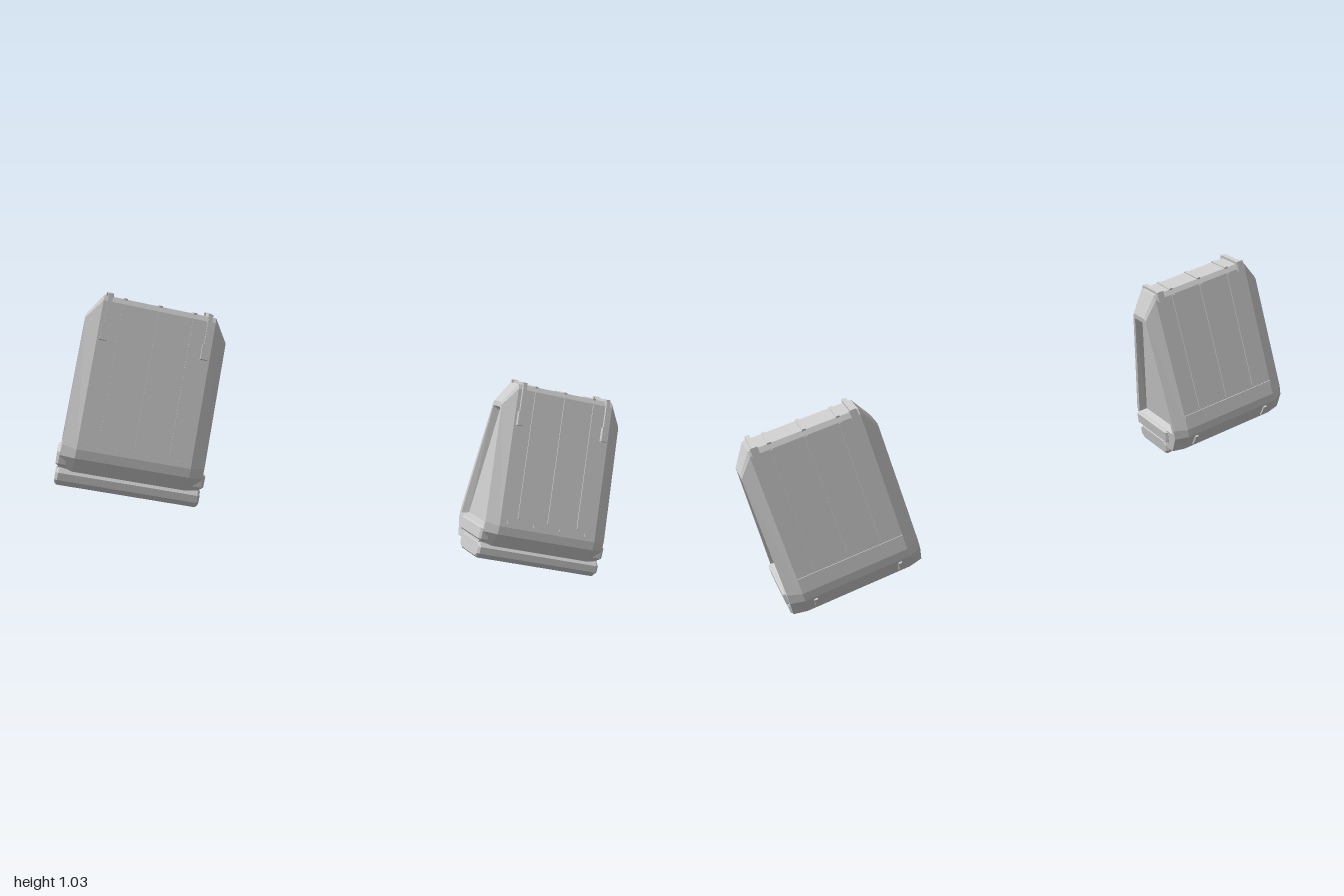
import * as THREE from 'three';

const material = new THREE.MeshStandardMaterial({ color: 0xcccccc, flatShading: true });
const SLOPE = Math.atan2(0.1, 0.485);
// half depth of the tapered shell at height v
const depthAt = (v) => 0.15 - (v - 0.13) * Math.tan(SLOPE);

// mirror a half profile of [z, y] points into a closed loop
const fullLoop = (half) => [...half, ...half.slice().reverse().map(([z, y]) => [-z, y])];

function add(parent, name, geometry, x = 0, y = 0, z = 0, rx = 0) {
  const mesh = new THREE.Mesh(geometry, material);
  mesh.name = name;
  mesh.position.set(x, y, z);
  mesh.rotation.x = rx;
  parent.add(mesh);
  return mesh;
}

// skin a row of closed loops placed along x
function loft(sections) {
  const pos = [];
  const rings = sections.map(([x, half]) => fullLoop(half).map(([z, y]) => [x, y, z]));
  for (let s = 0; s < rings.length - 1; s++) {
    const n = rings[s].length;
    for (let i = 0; i < n; i++) {
      const j = (i + 1) % n;
      const a = rings[s][i], b = rings[s][j], c = rings[s + 1][i], d = rings[s + 1][j];
      pos.push(...a, ...c, ...b, ...b, ...c, ...d);
    }
  }
  const g = new THREE.BufferGeometry();
  g.setAttribute('position', new THREE.Float32BufferAttribute(pos, 3));
  g.computeVertexNormals();
  return g;
}

// bar along x with cut corners in its z-y section
function cutBar(width, height, depth, cut) {
  const w = depth / 2, h = height / 2;
  return loft([
    [-width / 2, Array(4).fill([0, 0])],
    [-width / 2, [[w - cut - 0.006, -h + 0.006], [w - 0.006, -h + cut], [w - 0.006, h - cut], [w - cut - 0.006, h - 0.006]]],
    [-width / 2 + 0.008, [[w - cut, -h], [w, -h + cut], [w, h - cut], [w - cut, h]]],
    [width / 2 - 0.008, [[w - cut, -h], [w, -h + cut], [w, h - cut], [w - cut, h]]],
    [width / 2, [[w - cut - 0.006, -h + 0.006], [w - 0.006, -h + cut], [w - 0.006, h - cut], [w - cut - 0.006, h - 0.006]]],
    [width / 2, Array(4).fill([0, 0])],
  ]);
}

function makeCase() {
  const unit = new THREE.Group();
  unit.name = 'wedgeCase';

  // shell with chamfered ends and recessed end panels
  const outer = [[0.105, 0.03], [0.15, 0.1], [0.15, 0.13], [0.051, 0.612], [0.041, 0.628]];
  const face = [[0.098, 0.036], [0.13, 0.1], [0.13, 0.135], [0.042, 0.545], [0.034, 0.553]];
  const rim = [[0.1, 0.116], [0.118, 0.116], [0.116, 0.125], [0.034, 0.53], [0.03, 0.535]];
  const floor = [[0.09, 0.125], [0.102, 0.125], [0.101, 0.132], [0.026, 0.52], [0.022, 0.525]];
  const centre = Array(5).fill([0, 0.3]);
  const side = [[0.208, centre], [0.208, floor], [0.232, rim], [0.232, face], [0.185, outer]];
  add(unit, 'shell', loft([
    ...side.map(([x, p]) => [-x, p]),
    ...side.slice().reverse(),
  ]));

  // foot bar below and short belt bars on both ends
  add(unit, 'foot', cutBar(0.47, 0.06, 0.19, 0.018), 0, 0.03, 0.033);
  for (const s of [-1, 1]) {
    add(unit, 'endBelt', cutBar(0.04, 0.05, 0.21, 0.006), s * 0.221, 0.09, 0.023);
  }

  // thin ribs running up both slopes and over the top
  for (const x of [-0.115, 0, 0.115]) {
    for (const s of [-1, 1]) {
      const low = s > 0 ? 0.165 : 0.19, mid = (low + 0.61) / 2;
      add(unit, 'slopeRib', new THREE.BoxGeometry(0.012, (0.61 - low) / Math.cos(SLOPE), 0.008),
        x, mid, s * depthAt(mid), -s * SLOPE);
    }
    add(unit, 'topRib', new THREE.BoxGeometry(0.012, 0.007, 0.085), x, 0.628, 0);
  }

  // small nubs along the lower front
  for (const x of [-0.15, -0.05, 0.05, 0.15]) {
    add(unit, 'frontNub', new THREE.BoxGeometry(0.016, 0.012, 0.008), x, 0.148, depthAt(0.148), -SLOPE);
  }

  // rear band with a slim handle near each end
  add(unit, 'rearBand', new THREE.BoxGeometry(0.37, 0.01, 0.008), 0, 0.178, -depthAt(0.178), SLOPE);
  const bevel = Math.atan2(0.045, 0.07);
  for (const s of [-1, 1]) {
    add(unit, 'rearHandle', new THREE.BoxGeometry(0.012, 0.055, 0.012), s * 0.15, 0.067, -0.129, -bevel);
  }

  // underside vents
  for (const s of [-1, 1]) for (let i = 0; i < 3; i++) {
    add(unit, 'vent', new THREE.BoxGeometry(0.07, 0.004, 0.006), s * 0.12, 0, 0.01 + i * 0.022);
  }

  // latches: front strap, buckle, top bridge and rear hook
  for (const s of [-1, 1]) {
    const x = s * 0.165;
    add(unit, 'latchStrap', new THREE.BoxGeometry(0.014, 0.15, 0.012), x, 0.56, depthAt(0.56) + 0.003, -SLOPE);
    add(unit, 'latchBuckle', new THREE.BoxGeometry(0.024, 0.05, 0.02), x, 0.51, depthAt(0.51) + 0.005, -SLOPE);
    add(unit, 'latchBridge', new THREE.BoxGeometry(0.016, 0.014, 0.1), x, 0.63, 0);
    add(unit, 'latchHook', new THREE.BoxGeometry(0.024, 0.034, 0.014), x, 0.622, -0.052, SLOPE);
  }
  return unit;
}

export function createModel() {
  const model = new THREE.Group();
  model.name = 'casePair';
  // two identical tilted cases at different heights
  for (const [name, x, y, z] of [['leftCase', 0.66, 0.05, 0.012], ['rightCase', -0.77, 0.367, -0.015]]) {
    const unit = makeCase();
    unit.name = name;
    unit.position.set(x, y, z);
    unit.rotation.z = -0.212;
    model.add(unit);
  }
  return model;
}
